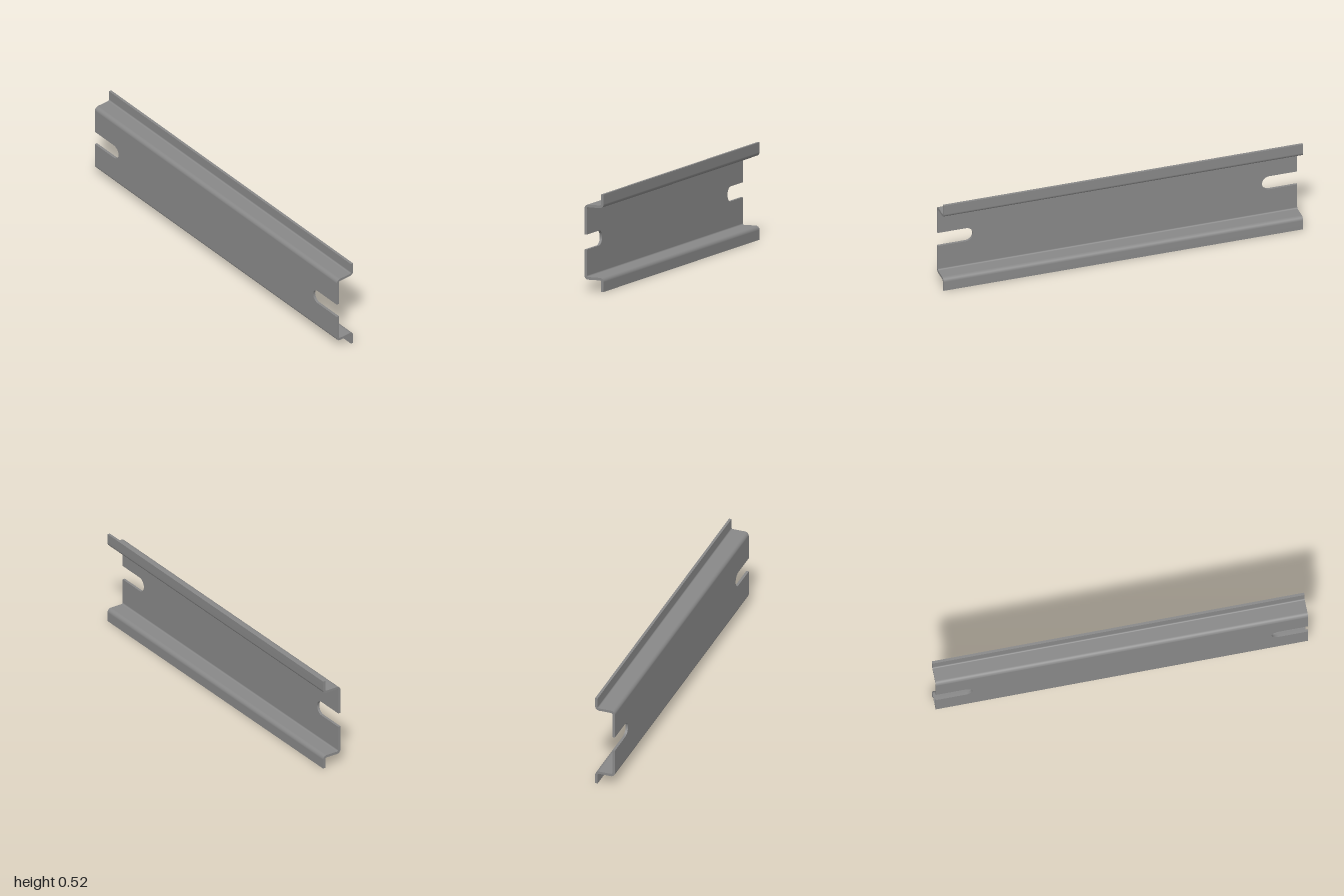
import * as THREE from 'three';
import { toCreasedNormals } from 'three/addons/utils/BufferGeometryUtils.js';

const LENGTH = 2, MID = 0.26;      // rail length, height of its centre line
const T = 0.014;                   // sheet thickness
const D = 0.0555;                  // half depth
const R = 0.022, r = R - T;        // outer and inner bend radius
const SHELF = 0.2;                 // outer face of each shelf, from the centre line
const JOIN = SHELF - R;            // where the flat web meets the bend
const SLOT_R = 0.04, SLOT_END = 0.804;

const material = new THREE.MeshStandardMaterial({ color: 0x888888, side: THREE.DoubleSide });

// Normals are found at 1000x size, so the tiny bends are not merged with the flats
function sheet(name, shape, depth) {
  const extruded = new THREE.ExtrudeGeometry(shape, { depth, bevelEnabled: false, curveSegments: 16 });
  extruded.scale(1000, 1000, 1000);
  const geometry = toCreasedNormals(extruded, 0.6).scale(0.001, 0.001, 0.001);
  const mesh = new THREE.Mesh(geometry, material);
  mesh.name = name;
  return mesh;
}

// Flat web with an open, round-ended slot in each end
function createWeb() {
  const s = new THREE.Shape();
  const c = SLOT_END + SLOT_R, e = LENGTH / 2, q = Math.PI / 2;
  s.moveTo(-e, -JOIN);
  s.lineTo(e, -JOIN);
  s.lineTo(e, -SLOT_R);
  s.absarc(c, 0, SLOT_R, -q, -3 * q, true);
  s.lineTo(e, SLOT_R);
  s.lineTo(e, JOIN);
  s.lineTo(-e, JOIN);
  s.lineTo(-e, SLOT_R);
  s.absarc(-c, 0, SLOT_R, q, -q, true);
  s.lineTo(-e, -SLOT_R);
  s.closePath();
  const web = sheet('web', s, T);
  web.position.set(0, MID, D - T);
  return web;
}

// Bent shelf and lip; side is +1 for the top, -1 for the mirrored bottom
function createFlange(name, side) {
  const s = new THREE.Shape();
  const q = Math.PI / 2;
  const arc = (x, y, radius, a, b) =>
    s.absarc(x, side * y, radius, side * a, side * b, side * (b - a) < 0);
  const lipBend = SHELF - T + R;
  s.moveTo(-D, side * JOIN);
  arc(-D + R, JOIN, R, 2 * q, q);
  arc(D - R, lipBend, r, -q, 0);
  s.lineTo(D - T, side * MID);
  s.lineTo(D, side * MID);
  arc(D - R, lipBend, R, 0, -q);
  arc(-D + R, JOIN, r, q, 2 * q);
  s.closePath();
  const flange = sheet(name, s, LENGTH);
  flange.rotation.y = Math.PI / 2;
  flange.position.set(-LENGTH / 2, MID, 0);
  return flange;
}

export function createModel() {
  const rail = new THREE.Group();
  rail.name = 'mountingRail';
  rail.add(createWeb(), createFlange('topFlange', 1), createFlange('bottomFlange', -1));
  return rail;
}
